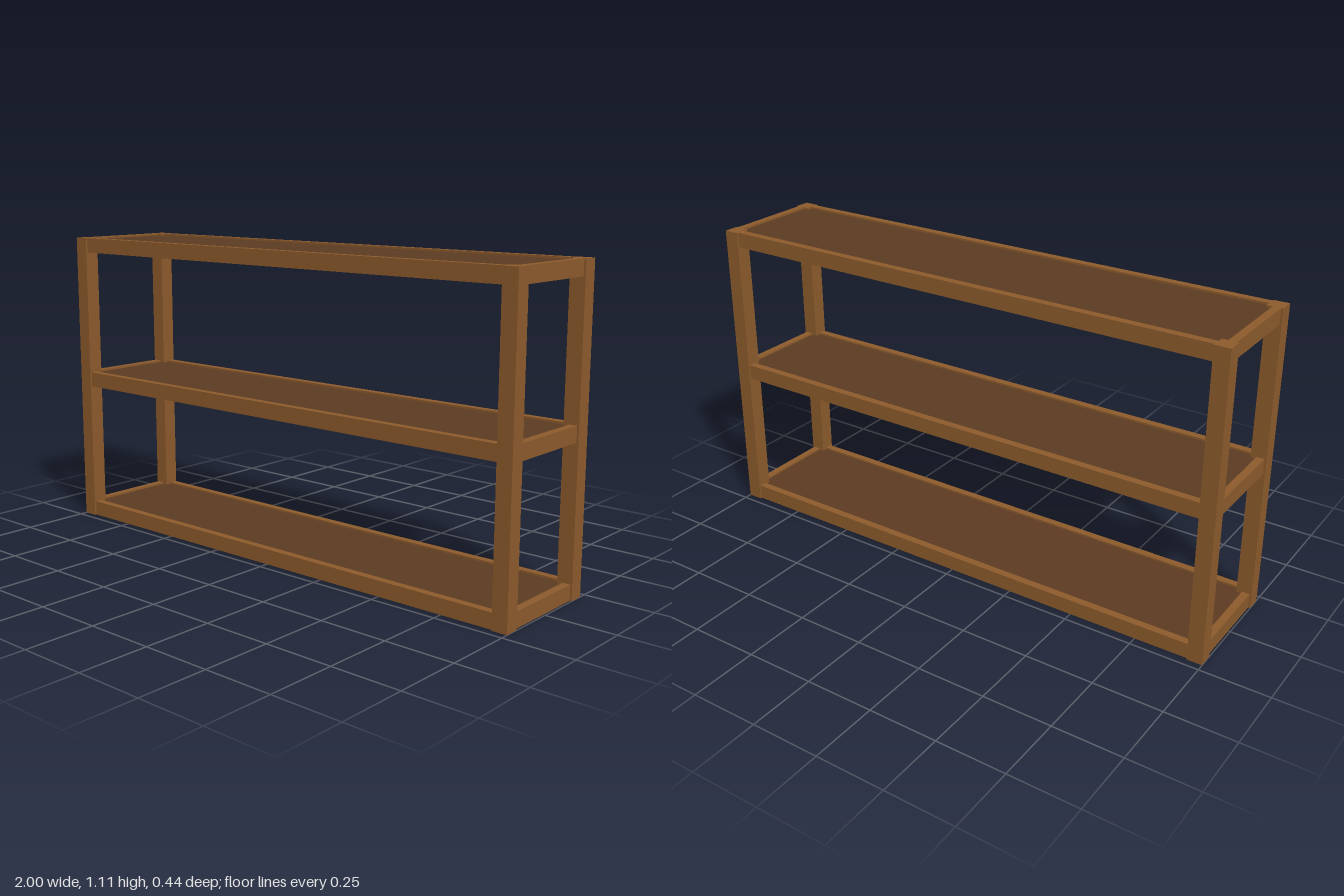
import * as THREE from 'three';

export function createModel() {
  const model = new THREE.Group();
  model.name = 'shelfUnit';

  const wood = new THREE.MeshStandardMaterial({ color: 0x8b5a2b });
  wood.name = 'frame wood';
  const darkWood = new THREE.MeshStandardMaterial({ color: 0x5c3a21 });
  darkWood.name = 'dark shelf wood';

  const W = 2, H = 1.111, D = 0.444;
  const post = 0.0556;   // square post width, also the rail height
  const rail = 0.028;    // rail thickness
  const inset = 0.007;   // rail set back from the post faces

  function box(parent, name, material, size, position) {
    const mesh = new THREE.Mesh(new THREE.BoxGeometry(...size), material);
    mesh.name = name;
    mesh.position.set(...position);
    parent.add(mesh);
  }

  // Corner posts
  for (const sx of [-1, 1]) {
    for (const sz of [-1, 1]) {
      const name = (sz > 0 ? 'front' : 'back') + (sx > 0 ? 'Left' : 'Right') + 'Post';
      box(model, name, wood, [post, H, post],
        [sx * (W - post) / 2, H / 2, sz * (D - post) / 2]);
    }
  }

  // Three tiers: rails between the posts around a thin recessed panel
  const railX = W / 2 - inset - rail / 2;
  const railZ = D / 2 - inset - rail / 2;
  const tiers = { bottom: post / 2, middle: H / 2, top: H - post / 2 };
  for (const [name, y] of Object.entries(tiers)) {
    const tier = new THREE.Group();
    tier.name = name + 'Shelf';
    tier.position.y = y;
    for (const s of [-1, 1]) {
      box(tier, s > 0 ? 'frontRail' : 'backRail', wood,
        [W - 2 * post, post, rail], [0, 0, s * railZ]);
      box(tier, s > 0 ? 'leftRail' : 'rightRail', wood,
        [rail, post, D - 2 * post], [s * railX, 0, 0]);
    }
    box(tier, 'panel', darkWood,
      [2 * railX - rail, 0.014, 2 * railZ - rail], [0, post / 2 - 0.014, 0]);
    model.add(tier);
  }

  return model;
}
